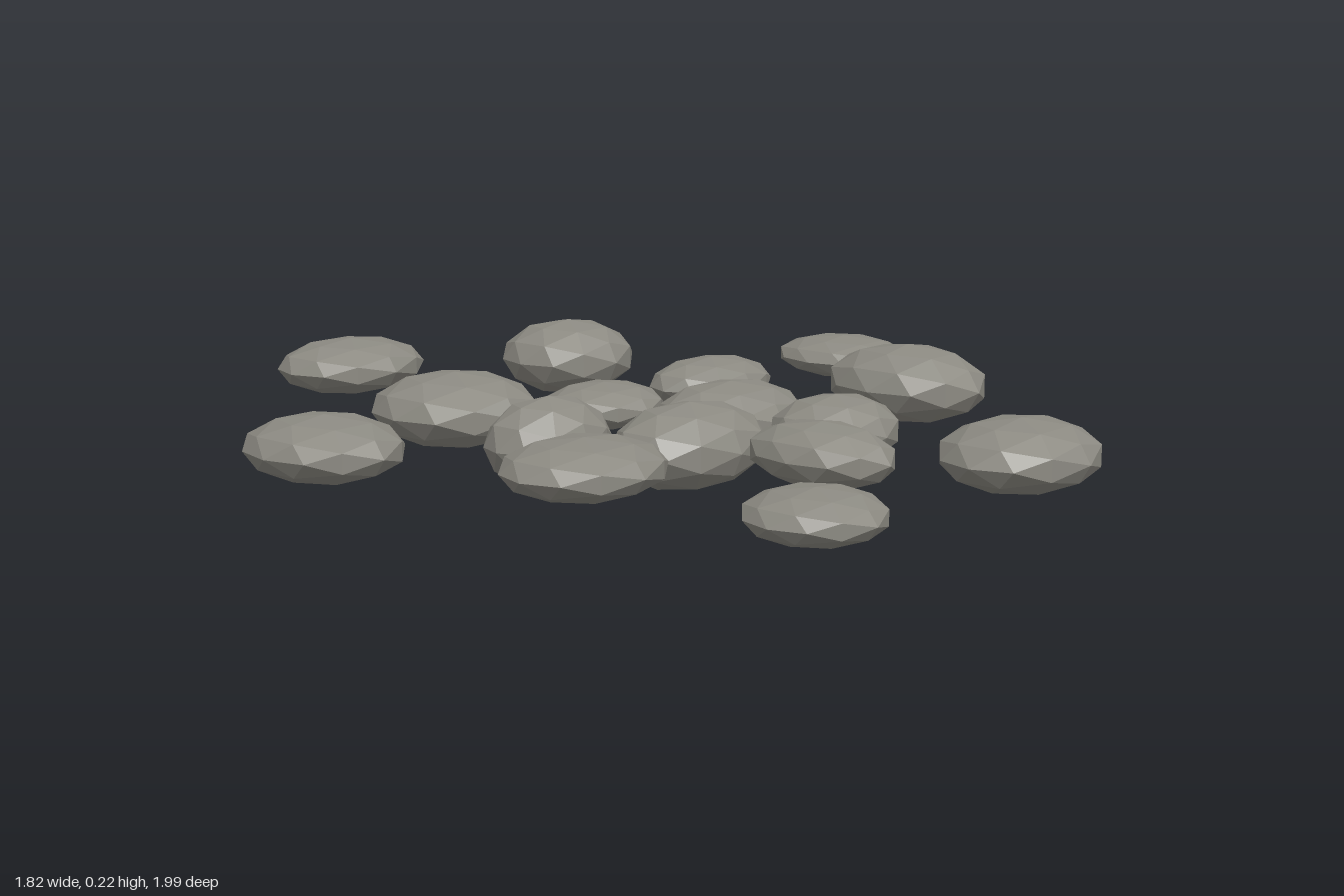
import * as THREE from 'three';

// Each stone: centre x, y, z, then half-sizes x, y, z
const STONES = [
  [-0.195, 0.137, -0.84, 0.185, 0.065, 0.16],
  [0.225, 0.14, -0.522, 0.165, 0.09, 0.161],
  [-0.752, 0.105, -0.285, 0.16, 0.07, 0.185],
  [-0.306, 0.11, -0.363, 0.185, 0.083, 0.195],
  [-0.037, 0.105, -0.16, 0.143, 0.052, 0.135],
  [0.295, 0.115, -0.124, 0.17, 0.06, 0.124],
  [0.766, 0.12, -0.088, 0.146, 0.05, 0.173],
  [-0.425, 0.111, 0.042, 0.152, 0.097, 0.117],
  [0.098, 0.095, 0.098, 0.193, 0.077, 0.152],
  [-0.211, 0.098, 0.244, 0.195, 0.092, 0.142],
  [0.134, 0.093, 0.364, 0.156, 0.078, 0.138],
  [0.488, 0.138, 0.303, 0.157, 0.09, 0.197],
  [-0.646, 0.14, 0.352, 0.177, 0.06, 0.157],
  [-0.18, 0.12, 0.567, 0.117, 0.068, 0.17],
  [-0.57, 0.115, 0.85, 0.14, 0.052, 0.139],
  [0.169, 0.098, 0.812, 0.19, 0.077, 0.166],
];

export function createModel() {
  const group = new THREE.Group();
  group.name = 'pebbles';

  const stone = new THREE.MeshStandardMaterial({ color: 0x8c8a82 });
  stone.name = 'stone grey';
  stone.flatShading = true;

  // One faceted ball, squashed into every pebble
  const ball = new THREE.IcosahedronGeometry(1, 1);

  STONES.forEach(([x, y, z, rx, ry, rz], i) => {
    const pebble = new THREE.Mesh(ball, stone);
    pebble.name = `pebble${i + 1}`;
    pebble.position.set(x, y, z);
    pebble.scale.set(rx, ry, rz);
    group.add(pebble);
  });

  return group;
}
